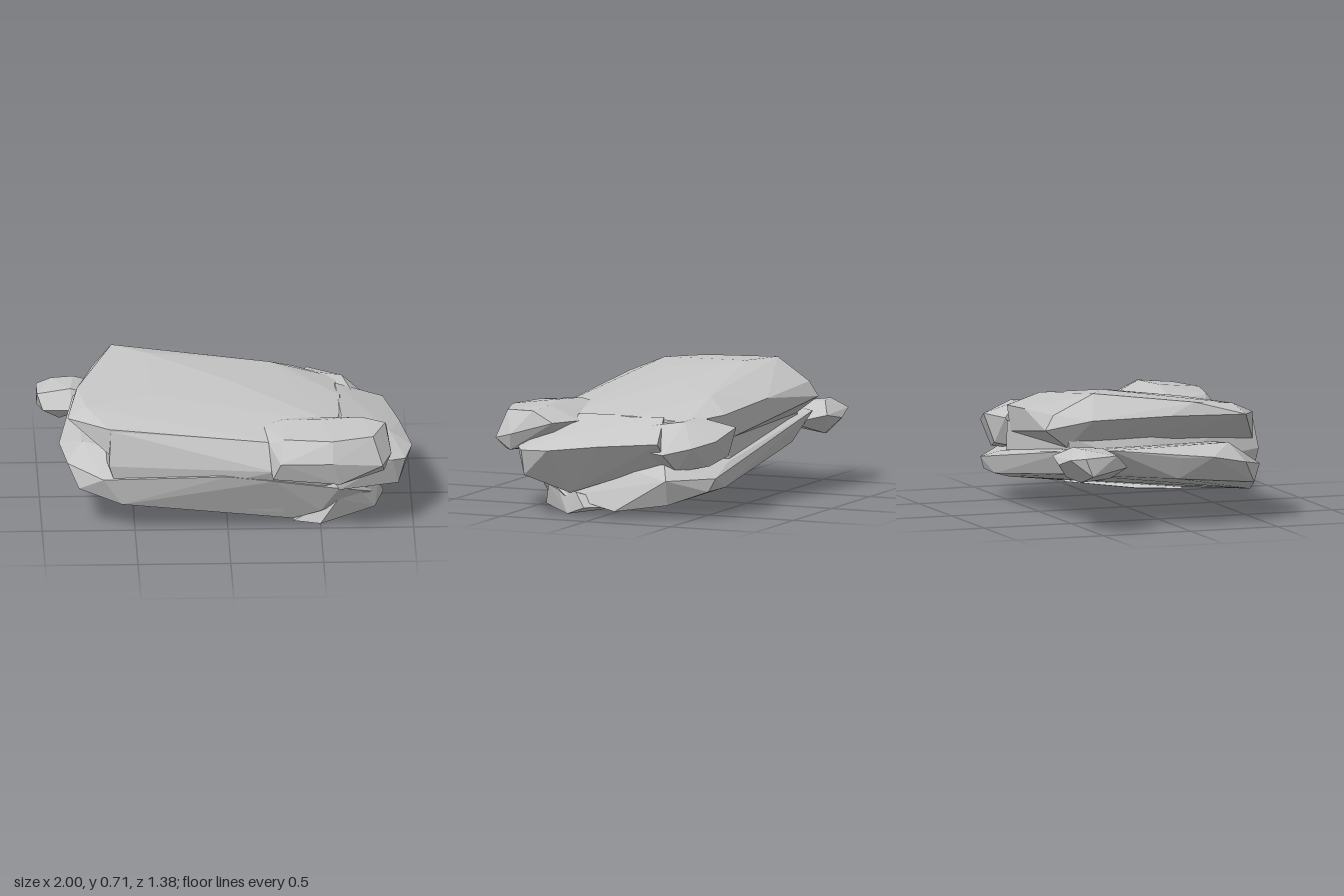
import * as THREE from 'three';
import { ConvexGeometry } from 'three/addons/geometries/ConvexGeometry.js';

// Faceted rock wrapped around a few corner points
function rock(name, corners, material) {
  const geometry = new ConvexGeometry(corners.map((c) => new THREE.Vector3(...c)));
  const mesh = new THREE.Mesh(geometry, material);
  mesh.name = name;
  return mesh;
}

export function createModel() {
  const group = new THREE.Group();
  group.name = 'rockFormation';
  const stone = new THREE.MeshStandardMaterial({ color: 0xc6c6c6, flatShading: true });
  stone.name = 'greyStone';

  const parts = {
    // Overhanging top layer, highest at the back left
    upperSlab: [
      [-0.6, 0.715, -0.41], [-0.42, 0.71, -0.3], [-0.8, 0.67, 0.1], [-0.76, 0.65, 0.33],
      [-0.86, 0.6, 0.37], [-0.64, 0.58, 0.49], [-0.4, 0.65, 0.16], [0.0, 0.64, -0.08],
      [0.38, 0.58, -0.35], [0.25, 0.61, -0.4], [0.38, 0.53, -0.54], [-0.05, 0.57, -0.6],
      [-0.56, 0.52, -0.67], [-0.55, 0.6, -0.62], [-0.7, 0.58, -0.45], [-0.8, 0.6, -0.05],
      [0.25, 0.5, 0.51], [0.2, 0.56, 0.3], [0.45, 0.56, -0.1], [0.6, 0.52, 0.3],
      [0.62, 0.53, -0.1], [0.6, 0.51, -0.42], [-0.62, 0.42, 0.5], [-0.64, 0.44, 0],
      [-0.55, 0.42, -0.54], [0.3, 0.4, -0.55], [0.65, 0.4, -0.25], [0.65, 0.4, 0.3],
    ],
    // Middle body: flush with the front face, set back at the sides
    middleBody: [
      [-0.63, 0.57, 0.49], [-0.66, 0.48, -0.1], [-0.58, 0.48, -0.54], [0.35, 0.45, -0.55],
      [0.65, 0.42, -0.35], [0.7, 0.4, 0.3], [0.25, 0.5, 0.51], [0.25, 0.36, 0.585],
      [-0.64, 0.38, 0.525], [-0.57, 0.16, 0.5], [0.3, 0.08, 0.47], [-0.7, 0.3, -0.1],
      [-0.56, 0.3, -0.54], [0.35, 0.18, -0.56], [0.62, 0.2, -0.4], [0.7, 0.2, 0.3],
      [0.7, 0.38, 0.52],
    ],
    // Wide base layer, sloping down to the front right
    baseSlab: [
      [-0.8, 0.22, 0.44], [-0.57, 0.15, 0.5], [-0.67, 0.3, 0.52], [-0.86, 0.34, 0.37],
      [-0.9, 0.38, 0.17], [-0.87, 0.38, 0], [-0.81, 0.43, -0.38], [-0.78, 0.44, 0.3],
      [-0.82, 0.26, 0], [-0.68, 0.3, -0.38], [-0.5, 0.27, -0.54], [-0.68, 0.42, -0.58],
      [0.0, 0.33, 0.57], [0.25, 0.3, 0.57], [0.35, 0.04, 0.45], [0.5, 0.08, 0.45],
      [0.78, 0.1, 0.22], [0.85, 0.04, -0.1], [0.78, 0.08, -0.38], [0.76, 0.27, -0.1],
      [0.84, 0.22, -0.4], [0.66, 0.15, -0.57], [0.63, 0.22, -0.6], [0.46, 0.15, -0.58],
      [0.4, 0.28, -0.57], [0.6, 0.22, 0.48], [0.77, 0.3, -0.36],
    ],
    // Sloping shelf jutting out on the right side
    rightShelf: [
      [0.62, 0.53, 0.2], [0.6, 0.53, -0.28], [1.0, 0.37, 0.23], [0.96, 0.36, 0.4],
      [0.94, 0.4, -0.05], [0.86, 0.42, -0.36], [0.88, 0.44, 0.2], [0.89, 0.37, 0.45],
      [0.92, 0.22, 0.4], [0.88, 0.2, 0.28], [0.8, 0.12, 0.18], [0.6, 0.22, 0.5],
      [0.76, 0.27, -0.1], [0.77, 0.31, -0.37], [0.5, 0.3, -0.3], [0.5, 0.4, 0.52],
    ],
    // Lump at the back right corner
    backRightRock: [
      [0.46, 0.48, -0.645], [0.63, 0.42, -0.6], [0.75, 0.39, -0.51], [0.84, 0.36, -0.38],
      [0.84, 0.38, -0.22], [0.5, 0.53, -0.44], [0.64, 0.52, -0.42], [0.7, 0.49, -0.2],
      [0.38, 0.46, -0.55], [0.44, 0.32, -0.59], [0.6, 0.28, -0.55], [0.74, 0.26, -0.42],
      [0.4, 0.28, -0.4],
    ],
    // Low foot under the front right corner
    foot: [
      [0.5, 0.01, 0.46], [0.64, 0, 0.3], [0.8, 0.005, 0.2], [0.85, 0.05, 0.08],
      [0.82, 0.13, 0.14], [0.6, 0.13, 0.4], [0.72, 0.13, 0.29], [0.35, 0.03, 0.46],
      [0.4, 0.04, 0.2], [0.7, 0.05, -0.1],
    ],
    // Boulder resting on the front right corner
    frontBoulder: [
      [0.19, 0.54, 0.36], [0.26, 0.53, 0.22], [0.34, 0.52, 0.185], [0.7, 0.5, 0.17],
      [0.86, 0.5, 0.26], [0.85, 0.56, 0.38], [0.88, 0.43, 0.5], [0.83, 0.4, 0.61],
      [0.56, 0.44, 0.685], [0.28, 0.43, 0.66], [0.22, 0.5, 0.52], [0.3, 0.565, 0.34],
      [0.5, 0.58, 0.38], [0.72, 0.578, 0.34], [0.78, 0.55, 0.56], [0.56, 0.55, 0.63],
      [0.3, 0.545, 0.58], [0.24, 0.33, 0.62], [0.4, 0.295, 0.56], [0.6, 0.31, 0.65],
      [0.84, 0.34, 0.52], [0.75, 0.38, 0.3], [0.35, 0.4, 0.3],
    ],
    // Small stone at the back left corner
    smallStone: [
      [-1, 0.42, -0.6], [-1, 0.32, -0.56], [-0.95, 0.41, -0.67], [-0.82, 0.37, -0.69],
      [-0.67, 0.4, -0.67], [-0.58, 0.36, -0.5], [-0.82, 0.36, -0.35], [-0.97, 0.36, -0.35],
      [-1, 0.43, -0.42], [-0.92, 0.46, -0.58], [-0.8, 0.46, -0.6], [-0.82, 0.45, -0.44],
      [-0.87, 0.275, -0.58], [-0.75, 0.29, -0.62], [-0.88, 0.29, -0.42],
    ],
  };

  for (const [name, corners] of Object.entries(parts)) group.add(rock(name, corners, stone));
  return group;
}
